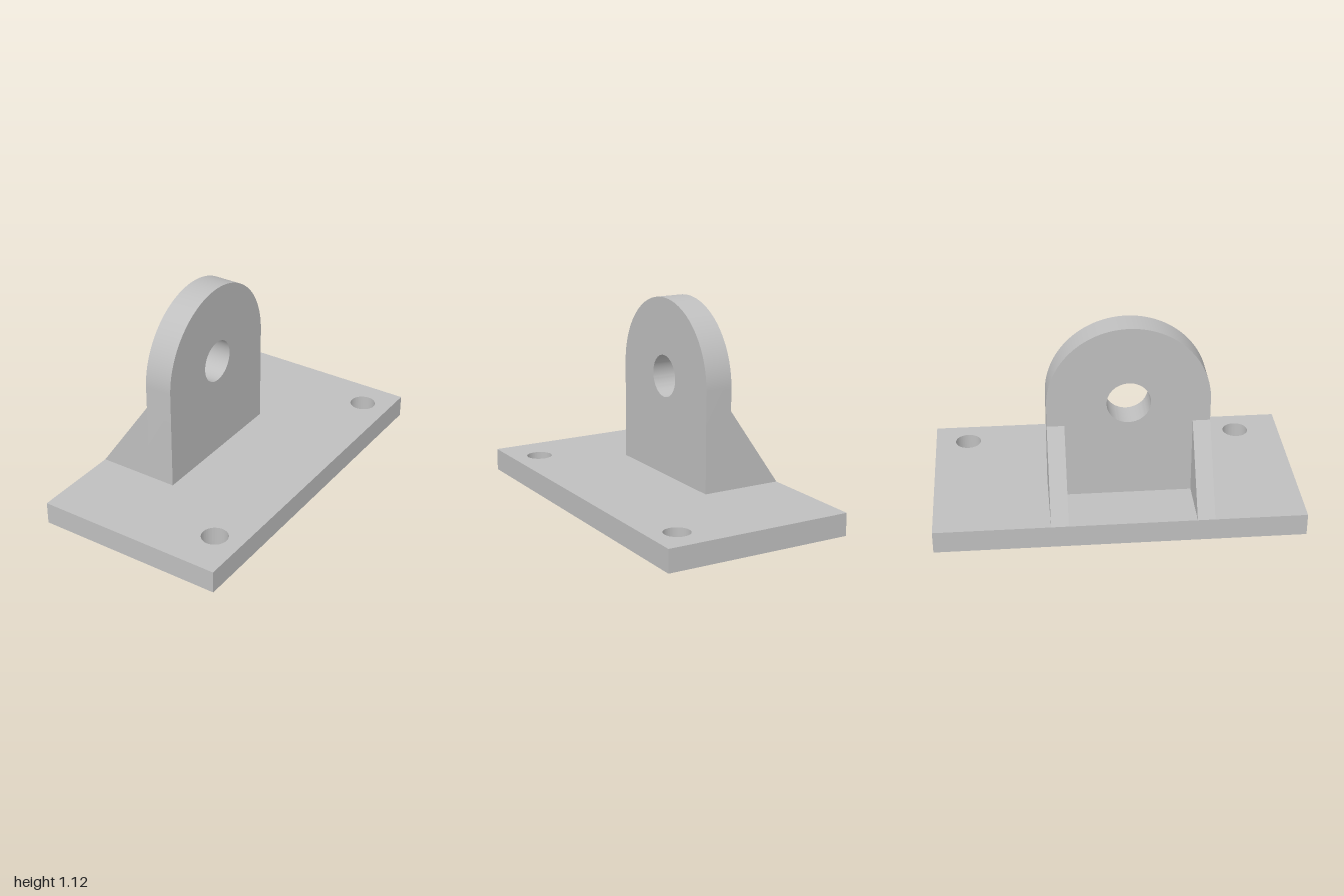
import * as THREE from 'three';
import { toCreasedNormals } from 'three/addons/utils/BufferGeometryUtils.js';

const metal = new THREE.MeshStandardMaterial({ color: 0xbfbfbf });
metal.name = 'grey metal';

const PLATE_TOP = 0.125;
const HALF_WIDTH = 0.531;

function extrude(shape, depth) {
  return new THREE.ExtrudeGeometry(shape, { depth, bevelEnabled: false, curveSegments: 40 });
}

function addPart(group, name, geometry) {
  const mesh = new THREE.Mesh(toCreasedNormals(geometry, 0.5), metal);
  mesh.name = name;
  group.add(mesh);
}

function addHole(shape, x, y, radius) {
  shape.holes.push(new THREE.Path().absarc(x, y, radius, 0, Math.PI * 2, true));
}

export function createModel() {
  const group = new THREE.Group();
  group.name = 'mountingBracket';

  // Base plate with two bolt holes, drawn flat (shape y = -z) and extruded upwards
  const plate = new THREE.Shape([
    new THREE.Vector2(-HALF_WIDTH, -1), new THREE.Vector2(HALF_WIDTH, -1),
    new THREE.Vector2(HALF_WIDTH, 1), new THREE.Vector2(-HALF_WIDTH, 1),
  ]);
  for (const z of [-0.815, 0.75]) addHole(plate, 0.372, -z, 0.072);
  addPart(group, 'basePlate', extrude(plate, PLATE_TOP).rotateX(-Math.PI / 2));

  // Upright lug with a round top and a pin hole (shape x = -z), extruded along x
  const radius = 0.4375, centreX = -0.0625, centreY = 0.6875;
  const lug = new THREE.Shape();
  lug.moveTo(centreX - radius, PLATE_TOP);
  lug.lineTo(centreX + radius, PLATE_TOP);
  lug.lineTo(centreX + radius, centreY);
  lug.absarc(centreX, centreY, radius, 0, Math.PI, false);
  lug.closePath();
  addHole(lug, centreX, centreY, 0.118);
  addPart(group, 'uprightLug',
    extrude(lug, 0.156).rotateY(Math.PI / 2).translate(-0.227, 0, 0));

  // Triangular gussets flush with both sides of the lug
  const gusset = new THREE.Shape([
    new THREE.Vector2(-HALF_WIDTH, PLATE_TOP),
    new THREE.Vector2(-0.227, PLATE_TOP),
    new THREE.Vector2(-0.227, 0.5625),
  ]);
  const thickness = 0.094;
  addPart(group, 'backGusset', extrude(gusset, thickness).translate(0, 0, -0.375));
  addPart(group, 'frontGusset', extrude(gusset, thickness).translate(0, 0, 0.5 - thickness));

  return group;
}
